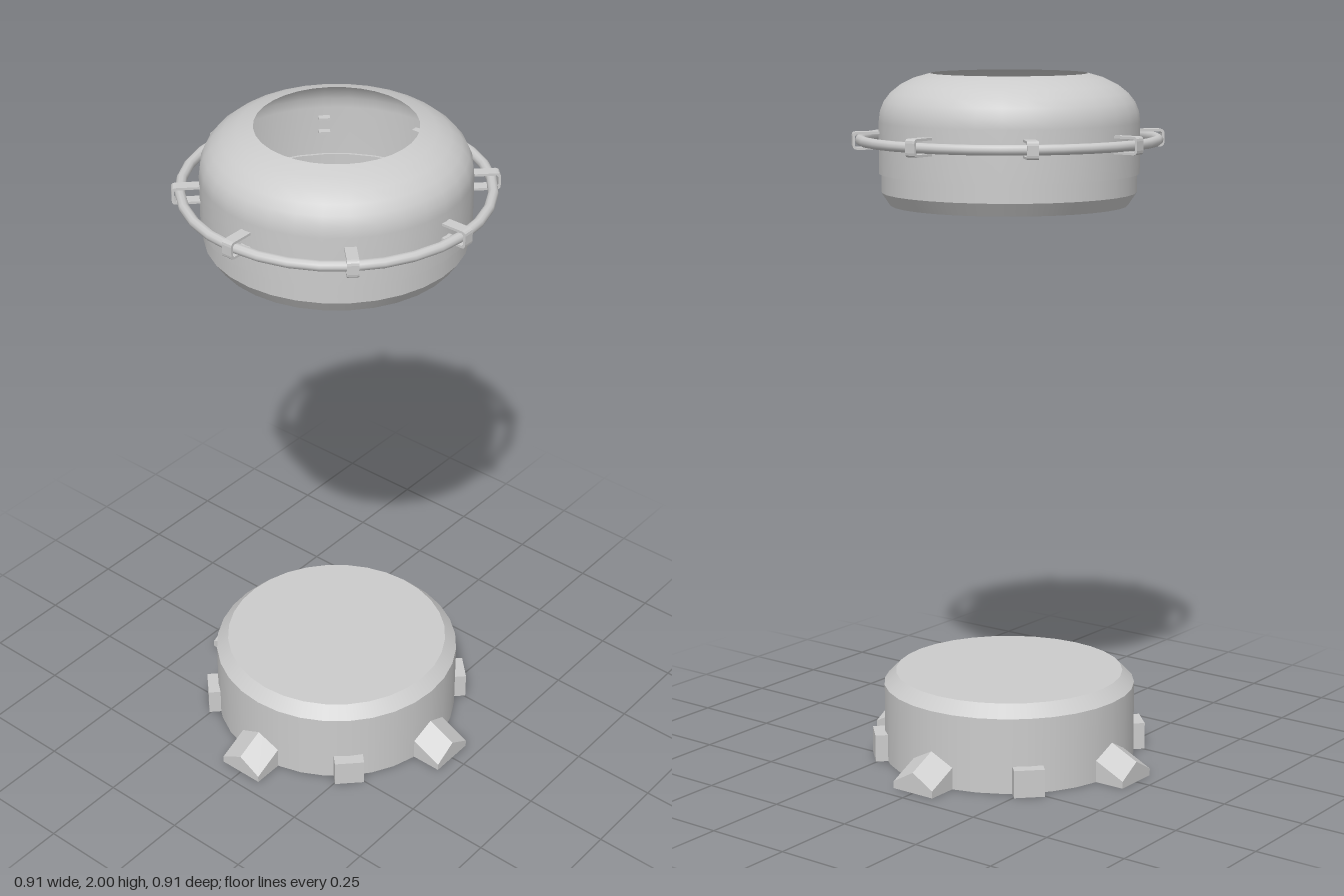
import * as THREE from 'three';

const SEG = 32;
const smooth = new THREE.MeshStandardMaterial({ color: 0xcccccc, side: THREE.DoubleSide });
const flat = new THREE.MeshStandardMaterial({ color: 0xcccccc, side: THREE.DoubleSide, flatShading: true });

function add(parent, geometry, name, material = smooth) {
  const mesh = new THREE.Mesh(geometry, material);
  mesh.name = name;
  parent.add(mesh);
  return mesh;
}

// Turned surface; each call is one smooth band, so its borders stay sharp
function turned(parent, name, points) {
  const profile = points.map(([r, y]) => new THREE.Vector2(r, y));
  return add(parent, new THREE.LatheGeometry(profile, SEG), name);
}

// Gabled foot whose roof slopes down towards the outer end
function gabledFootGeometry() {
  const s = new THREE.Shape();
  s.moveTo(-0.07, 0);
  s.lineTo(0.07, 0);
  s.lineTo(0.07, 0.07);
  s.lineTo(0, 0.11);
  s.lineTo(-0.07, 0.07);
  s.closePath();
  const inner = 0.35, outer = 0.455;
  const g = new THREE.ExtrudeGeometry(s, { depth: outer - inner, bevelEnabled: false });
  g.translate(0, 0, inner);
  const p = g.attributes.position;
  for (let i = 0; i < p.count; i++) {
    if (p.getY(i) > 0.01) p.setY(i, p.getY(i) - Math.max(0, p.getZ(i) - 0.37) * 0.58);
  }
  g.computeVertexNormals();
  return g;
}

// U-shaped strap that wraps around the rail, open towards the housing
function strapGeometry() {
  const inner = 0.35, outer = 0.445, h = 0.025, t = 0.007, c = 0.012;
  const s = new THREE.Shape();
  s.moveTo(inner, -h);
  s.lineTo(outer - c, -h);
  s.quadraticCurveTo(outer, -h, outer, -h + c);
  s.lineTo(outer, h - c);
  s.quadraticCurveTo(outer, h, outer - c, h);
  s.lineTo(inner, h);
  s.lineTo(inner, h - t);
  s.lineTo(outer - c, h - t);
  s.lineTo(outer - t, h - c);
  s.lineTo(outer - t, -h + c);
  s.lineTo(outer - c, -h + t);
  s.lineTo(inner, -h + t);
  s.closePath();
  const g = new THREE.ExtrudeGeometry(s, { depth: 0.032, bevelEnabled: false, curveSegments: 3 });
  g.translate(0, 0, -0.016);
  return g;
}

export function createModel() {
  const model = new THREE.Group();

  // Base drum, open underneath
  const base = new THREE.Group();
  base.name = 'base';
  model.add(base);
  turned(base, 'baseWall', [[0.37, 0], [0.37, 0.22]]);
  turned(base, 'baseChamfer', [[0.37, 0.22], [0.335, 0.255]]);
  turned(base, 'baseLid', [[0.335, 0.255], [0, 0.255]]);

  // Gabled feet on the axes, plain blocks on the diagonals
  const footGeometry = gabledFootGeometry();
  const blockGeometry = new THREE.BoxGeometry(0.088, 0.08, 0.055).translate(0, 0.04, 0.375);
  for (let i = 0; i < 4; i++) {
    const angle = i * Math.PI / 2;
    add(base, footGeometry, 'gabledFoot', flat).rotation.y = angle;
    add(base, blockGeometry, 'footBlock', flat).rotation.y = angle + Math.PI / 4;
  }

  // Upper housing, a hollow dome with a round opening
  const housing = new THREE.Group();
  housing.name = 'upperHousing';
  model.add(housing);
  turned(housing, 'housingFloor', [[0, 1.63], [0.338, 1.63]]);
  turned(housing, 'lowerChamfer', [[0.338, 1.63], [0.363, 1.667]]);
  turned(housing, 'lowerBand', [[0.363, 1.667], [0.363, 1.72]]);
  turned(housing, 'bandStep', [[0.363, 1.72], [0.37, 1.72]]);
  turned(housing, 'dome', [
    [0.37, 1.72], [0.37, 1.865], [0.366, 1.895], [0.355, 1.921],
    [0.336, 1.945], [0.307, 1.968], [0.268, 1.987], [0.222, 2.0],
  ]);

  // Round rail held by eight straps
  const railGroup = new THREE.Group();
  railGroup.name = 'railAssembly';
  railGroup.position.y = 1.815;
  model.add(railGroup);
  const rail = new THREE.TorusGeometry(0.422, 0.0145, 10, SEG);
  add(railGroup, rail.rotateX(Math.PI / 2), 'rail');
  const strap = strapGeometry();
  for (let i = 0; i < 8; i++) {
    add(railGroup, strap, 'railStrap', flat).rotation.y = i * Math.PI / 4;
  }

  return model;
}
